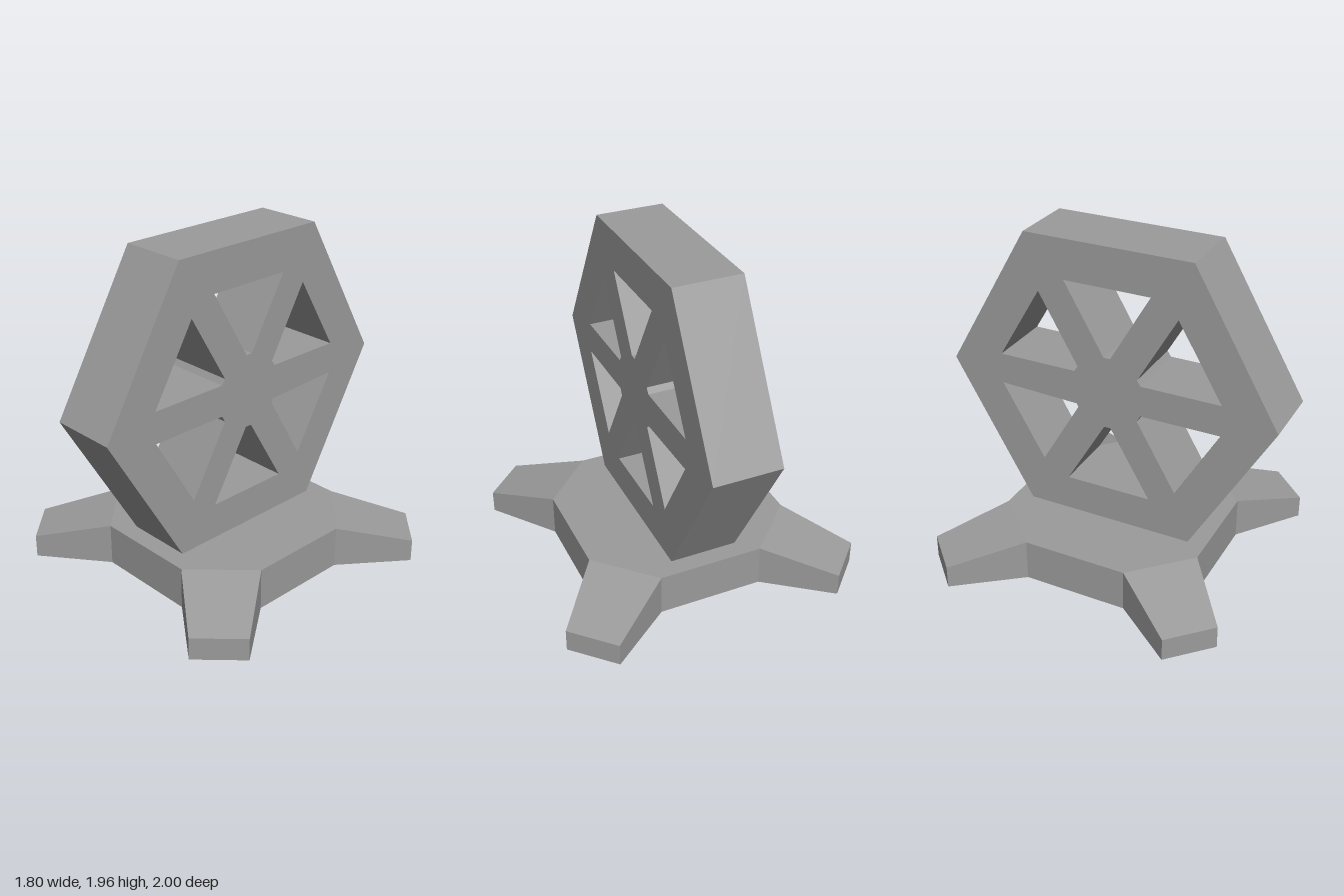
import * as THREE from 'three';

const CENTRE_Y = 1.095, BASE_TOP = 0.25, FOOT_TOP = 0.135;

const points = (list) => list.map(([x, y]) => new THREE.Vector2(x, y));
const mirror = (list) => list.map(([x, y]) => [-x, y]).reverse();

// The wheel has no underside where it sinks through the base plate
function removeUnderside(geometry) {
  const { array } = geometry.getAttribute('position');
  const kept = [];
  for (let i = 0; i < array.length; i += 9) {
    const highest = Math.max(array[i + 1], array[i + 4], array[i + 7]);
    if (highest > BASE_TOP) kept.push(...array.subarray(i, i + 9));
  }
  const open = new THREE.BufferGeometry();
  open.setAttribute('position', new THREE.Float32BufferAttribute(kept, 3));
  open.computeVertexNormals();
  return open;
}

// Hexagonal wheel, drawn in (z, y) and extruded across x, with six openings
function createWheel(material) {
  const rim = [];
  for (let i = 0; i < 6; i++) {
    const a = (i * Math.PI) / 3;
    rim.push([Math.cos(a), CENTRE_Y + Math.sin(a)]);
  }
  const shape = new THREE.Shape(points(rim));
  const upper = [[0.42, 1.63], [0.68, 1.187], [0.205, 1.187], [0.183, 1.22]];
  const lower = [[0.42, 0.555], [0.183, 0.962], [0.205, 1.0], [0.68, 1.0]];
  const lowerBack = [[-0.42, 0.555], [-0.68, 1.0], [-0.195, 0.982], [-0.183, 0.962]];
  const top = [[-0.26, 1.725], [0.26, 1.725], [0.02, 1.312], [-0.02, 1.312]];
  const bottom = [[-0.26, 0.465], [-0.02, 0.874], [0.02, 0.874], [0.26, 0.465]];
  for (const hole of [upper, mirror(upper), lower, lowerBack, top, bottom]) {
    shape.holes.push(new THREE.Path(points(hole)));
  }
  const geometry = new THREE.ExtrudeGeometry(shape, { depth: 0.4, bevelEnabled: false });
  geometry.translate(0, 0, -0.2).rotateY(-Math.PI / 2);
  const wheel = new THREE.Mesh(removeUnderside(geometry), material);
  wheel.name = 'spokedHexagonWheel';
  return wheel;
}

// One quarter of the hollow base skirt: a side wall and a sloping leg
function createQuarterGeometry() {
  const outline = [
    [-0.31, 0.62, BASE_TOP], [0.31, 0.62, BASE_TOP],
    [0.677, 0.9, FOOT_TOP], [0.9, 0.677, FOOT_TOP], [0.62, 0.31, BASE_TOP],
  ];
  const low = outline.map(([x, z]) => [x, 0, z]);
  const high = outline.map(([x, z, y]) => [x, y, z]);
  const vertices = [];
  const quad = (a, b, c, d) => vertices.push(...a, ...b, ...c, ...a, ...c, ...d);
  for (let i = 0; i < 4; i++) quad(low[i], low[i + 1], high[i + 1], high[i]);
  quad(high[1], high[2], high[3], high[4]); // sloping top of the leg
  const geometry = new THREE.BufferGeometry();
  geometry.setAttribute('position', new THREE.Float32BufferAttribute(vertices, 3));
  geometry.computeVertexNormals();
  return geometry;
}

// Thin, open-bottomed base with four legs
function createBase(material) {
  const base = new THREE.Group();
  base.name = 'base';
  const a = 0.62, b = 0.31;
  const octagon = new THREE.Shape(points([
    [a, -b], [a, b], [b, a], [-b, a], [-a, b], [-a, -b], [-b, -a], [b, -a],
  ]));
  const plate = new THREE.Mesh(new THREE.ShapeGeometry(octagon), material);
  plate.rotation.x = -Math.PI / 2;
  plate.position.y = BASE_TOP;
  plate.name = 'basePlate';
  base.add(plate);
  const quarter = createQuarterGeometry();
  for (let i = 0; i < 4; i++) {
    const leg = new THREE.Mesh(quarter, material);
    leg.rotation.y = (i * Math.PI) / 2;
    leg.name = `baseLeg${i + 1}`;
    base.add(leg);
  }
  return base;
}

export function createModel() {
  const material = new THREE.MeshStandardMaterial({
    color: 0x9b9b9b, flatShading: true, side: THREE.DoubleSide,
  });
  const model = new THREE.Group();
  model.name = 'wheelOnStand';
  model.add(createWheel(material), createBase(material));
  return model;
}
